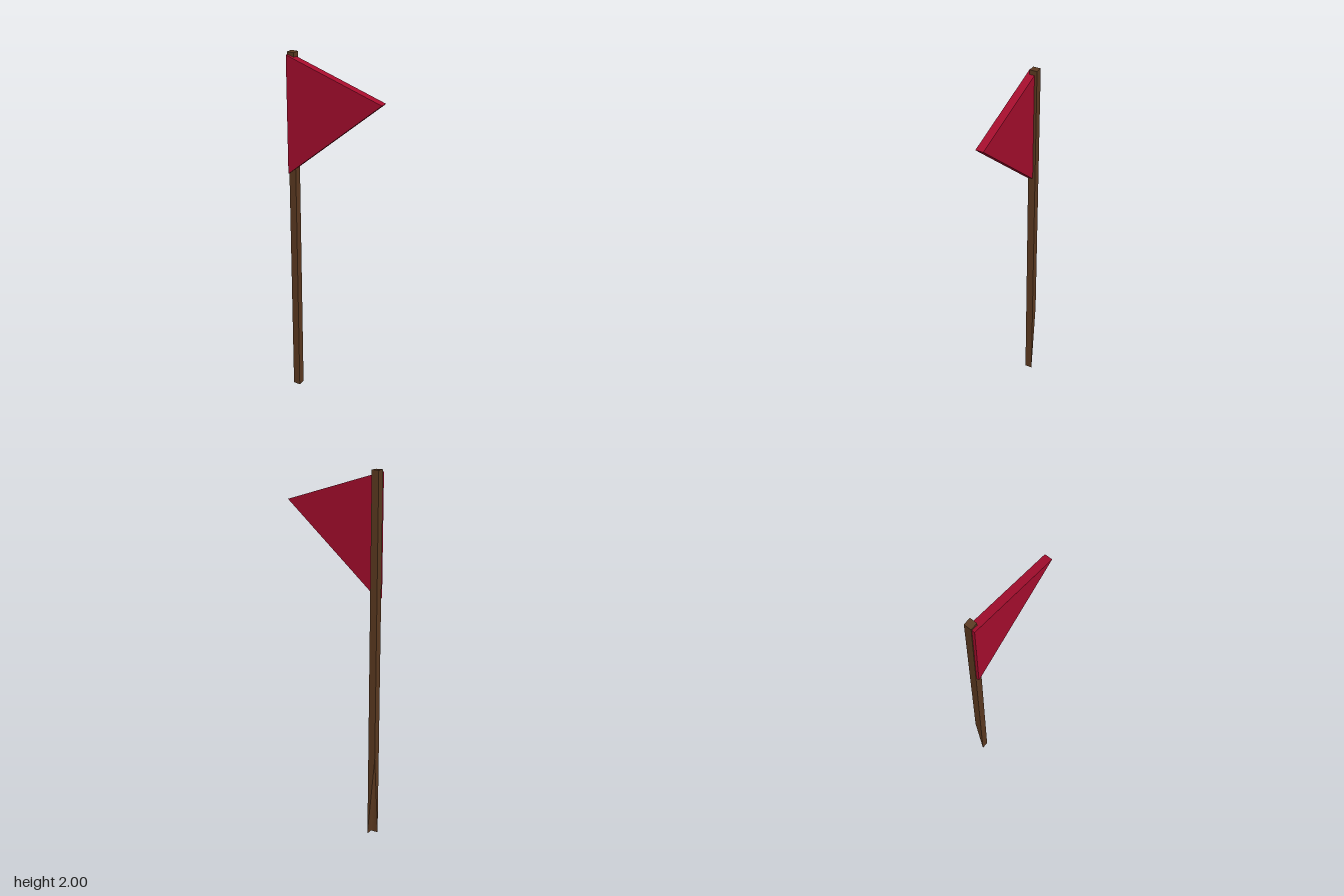
import * as THREE from 'three';

export function createModel() {
  const wood = new THREE.MeshStandardMaterial({ color: 0x5c3a21 });
  wood.name = 'brown wood';
  const cloth = new THREE.MeshStandardMaterial({ color: 0xa60d2d });
  cloth.name = 'red cloth';

  const group = new THREE.Group();
  group.name = 'pennant';

  // Square pole, with one back corner of its foot whittled upward
  const side = 0.041;
  const poleGeometry = new THREE.BoxGeometry(side, 2, side);
  const p = poleGeometry.attributes.position;
  for (let i = 0; i < p.count; i++) {
    if (p.getX(i) < 0 && p.getY(i) < 0 && p.getZ(i) < 0) p.setY(i, -1 + 0.455);
  }
  poleGeometry.computeVertexNormals();
  const pole = new THREE.Mesh(poleGeometry, wood);
  pole.name = 'pole';
  pole.position.set(-0.2625, 1, -0.0085);
  group.add(pole);

  // Thick triangular flag, overlapping the front of the pole
  const outline = new THREE.Shape([
    new THREE.Vector2(-0.279, 1.34),
    new THREE.Vector2(0.283, 1.81),
    new THREE.Vector2(-0.279, 1.987),
  ]);
  const flagGeometry = new THREE.ExtrudeGeometry(outline, { depth: 0.043, bevelEnabled: false });
  const flag = new THREE.Mesh(flagGeometry, cloth);
  flag.name = 'flag';
  flag.position.z = -0.015;
  group.add(flag);

  return group;
}
